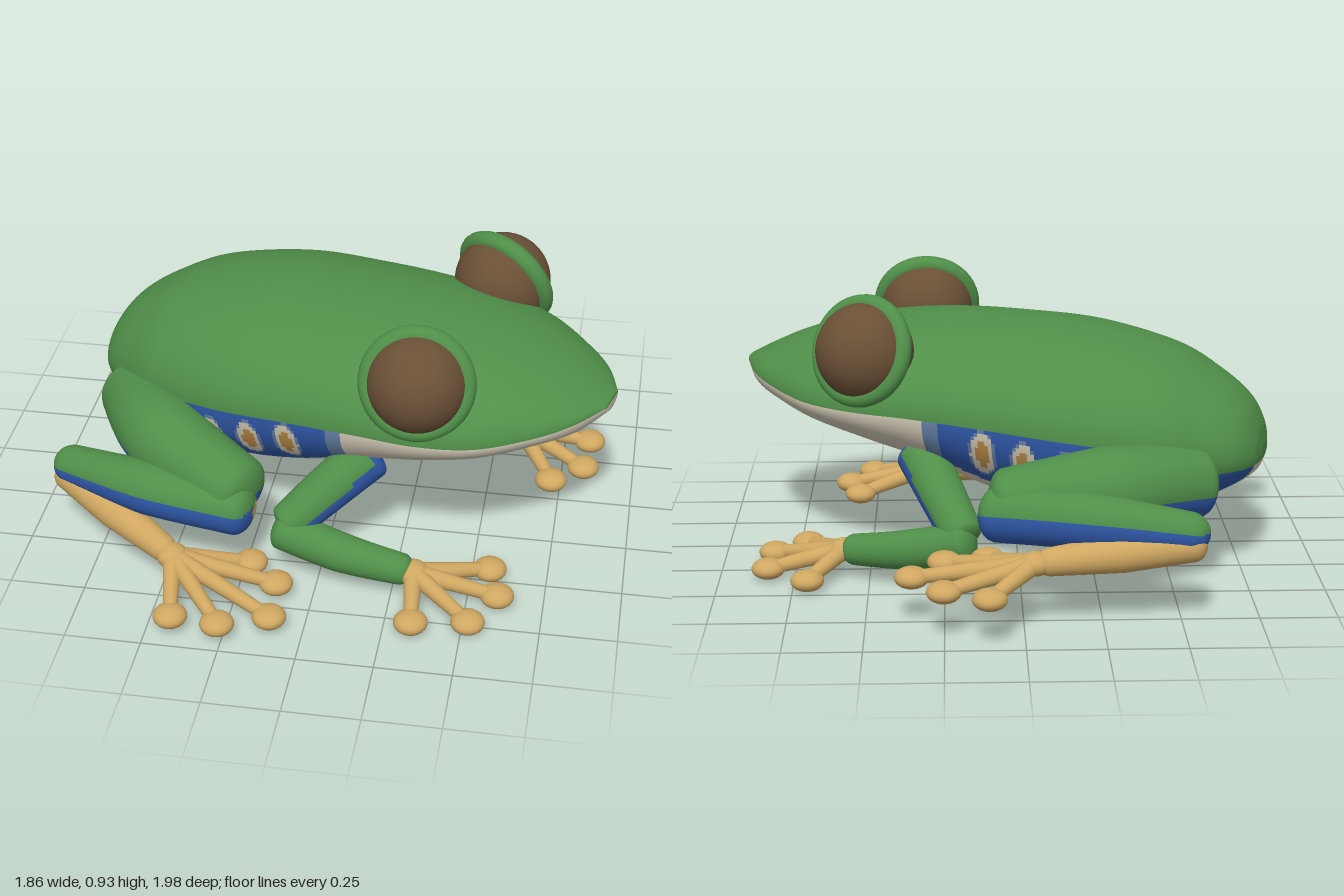
import * as THREE from 'three';

const V = (x, y, z) => new THREE.Vector3(x, y, z);
const mat = (name, color) => {
  const m = new THREE.MeshStandardMaterial({ color });
  m.name = name;
  return m;
};
const green = mat('leaf green', 0x508f49);
const cream = mat('belly cream', 0xcfc7b4);
const blue = mat('flank blue', 0x2f58a8);
const slate = mat('pale blue', 0x6580a6);
const tan = mat('foot tan', 0xcfa761);
const brown = mat('eye brown', 0x6a5036);
const orange = mat('spot orange', 0xb98a48);
const palette = [green, cream, blue, slate, tan, brown, orange];

// Closed-ring surface: at(i, j) gives points, paint(point, normal, t) picks each quad's material
function ringSurface(name, rows, cols, at, paint) {
  const pos = [];
  for (let i = 0; i <= rows; i++)
    for (let j = 0; j < cols; j++) pos.push(...at(i / rows, (j / cols) * Math.PI * 2).toArray());
  const point = k => V(pos[3 * k], pos[3 * k + 1], pos[3 * k + 2]);
  const buckets = palette.map(() => []);
  for (let i = 0; i < rows; i++)
    for (let j = 0; j < cols; j++) {
      const a = i * cols + j, b = i * cols + (j + 1) % cols, c = a + cols, d = b + cols;
      const pa = point(a), pb = point(b), pc = point(c), pd = point(d);
      const normal = pd.clone().sub(pa).cross(pc.clone().sub(pb)).normalize();
      const mid = pa.add(pb).add(pc).add(pd).multiplyScalar(0.25);
      buckets[palette.indexOf(paint(mid, normal, (i + 0.5) / rows))].push(a, b, c, b, d, c);
    }
  const geo = new THREE.BufferGeometry();
  geo.setAttribute('position', new THREE.Float32BufferAttribute(pos, 3));
  geo.setIndex(buckets.flat());
  geo.computeVertexNormals();
  const used = [];
  let start = 0;
  for (let k = 0; k < palette.length; k++) {
    if (!buckets[k].length) continue;
    geo.addGroup(start, buckets[k].length, used.length);
    used.push(palette[k]);
    start += buckets[k].length;
  }
  const mesh = new THREE.Mesh(geo, used);
  mesh.name = name;
  return mesh;
}

// Rounded limb through points with interpolated radii
function limb(name, points, radii, paint) {
  const curve = new THREE.CatmullRomCurve3(points);
  const cap = 0.08;
  return ringSurface(name, 40, 32, (s, ang) => {
    const t = (1 - Math.cos(Math.PI * s)) / 2;
    const f = t * (radii.length - 1), k = Math.min(Math.floor(f), radii.length - 2);
    const e = Math.max(0, 1 - Math.min(t, 1 - t) / cap);
    const r = THREE.MathUtils.lerp(radii[k], radii[k + 1], f - k) * Math.sqrt(Math.max(0, 1 - e * e)) + 1e-4;
    const T = curve.getTangent(t);
    const N = V(0, 1, 0).addScaledVector(T, -T.y).normalize();
    const B = T.clone().cross(N);
    return curve.getPoint(t).addScaledVector(N, r * Math.cos(ang)).addScaledVector(B, r * Math.sin(ang));
  }, paint);
}

// Body stations: u, back height, belly height, lip height, half width
const stations = [
  [-1.283, 0.445, 0.395, 0.42, 0.06], [-1.265, 0.515, 0.355, 0.425, 0.15], [-1.215, 0.595, 0.315, 0.437, 0.235],
  [-1.11, 0.675, 0.26, 0.46, 0.315],
  [-0.95, 0.755, 0.205, 0.49, 0.4], [-0.68, 0.815, 0.185, 0.525, 0.46], [-0.42, 0.83, 0.235, 0.55, 0.465],
  [-0.18, 0.83, 0.33, 0.567, 0.46], [0.03, 0.81, 0.4, 0.573, 0.445], [0.21, 0.775, 0.455, 0.58, 0.39],
  [0.36, 0.725, 0.505, 0.597, 0.285], [0.46, 0.68, 0.54, 0.615, 0.185], [0.534, 0.642, 0.6, 0.63, 0.055],
];
const outline = new THREE.CatmullRomCurve3(stations.map(s => V(s[0], s[1], s[2])), false, 'catmullrom');
const edge = new THREE.CatmullRomCurve3(stations.map(s => V(s[0], s[3], s[4])), false, 'catmullrom');

function makeBody() {
  const rows = 264;
  const lipAt = [];
  return ringSurface('body', rows, 148, (s, ang) => {
    const t = THREE.MathUtils.clamp((s * rows - 1) / (rows - 2), 0, 1);
    const k = s === 0 || s === 1 ? 0.001 : 1;
    const o = outline.getPoint(t), e = edge.getPoint(t);
    lipAt[Math.round(s * rows)] = e.y;
    const c = Math.cos(ang);
    return V(o.x, e.y + k * c * (c > 0 ? o.y - e.y : e.y - o.z), k * e.z * Math.sin(ang));
  }, (p, n, t) => {
    if (p.y > lipAt[Math.floor(t * rows)]) return green;
    if (p.x < -1.15) {
      if (p.y > 0.395) return green;
      return Math.abs(p.z) > 0.13 ? blue : cream;
    }
    const low = Math.max(0.28, 0.43 + (p.x + 0.22) * 0.45);
    if (p.x > -0.22 || p.y < low) return cream;
    // flank markings
    for (const u of [-0.7, -0.56, -0.42]) {
      const dx = Math.abs(p.x - u), dy = Math.abs(p.y - 0.46 - (u + 0.42) * 0.2);
      if (Math.hypot(dx / 0.021, dy / 0.05) < 1) return orange;
      if (Math.hypot(dx / 0.04, dy / 0.078) < 1) return cream;
      if (Math.hypot(dx / 0.046, dy / 0.088) < 1) return slate;
    }
    return p.x > -0.27 ? slate : blue;
  });
}

// Foot: tapered toes ending in flattened pads
function makeFoot(name, base, tips) {
  const foot = new THREE.Group();
  foot.name = name;
  const palm = new THREE.Mesh(new THREE.SphereGeometry(0.052, 20, 14), tan);
  palm.name = 'palm';
  palm.position.copy(base);
  palm.scale.y = 0.75;
  foot.add(palm);
  for (const tip of tips) {
    const dir = tip.clone().sub(base);
    const toe = new THREE.Mesh(new THREE.CylinderGeometry(0.022, 0.032, dir.length(), 14), tan);
    toe.name = 'toe';
    toe.position.copy(base).addScaledVector(dir, 0.5);
    toe.quaternion.setFromUnitVectors(V(0, 1, 0), dir.normalize());
    const pad = new THREE.Mesh(new THREE.SphereGeometry(0.056, 20, 14), tan);
    pad.name = 'toePad';
    pad.position.copy(tip);
    pad.scale.y = 0.62;
    foot.add(toe, pad);
  }
  return foot;
}

function makeSide(s) {
  const side = new THREE.Group();
  side.name = s > 0 ? 'rightSide' : 'leftSide';
  const P = (x, y, z) => V(x, y, z * s);
  const lift = s > 0 ? 0 : 1; // left hind foot is held higher

  // Eye with rim
  const eyePos = P(0.004, 0.76, 0.36), out = P(0.26, 0.33, 0.9).normalize();
  const eye = new THREE.Mesh(new THREE.SphereGeometry(0.163, 40, 28), brown);
  eye.name = 'eye';
  eye.position.copy(eyePos);
  const rim = new THREE.Mesh(new THREE.TorusGeometry(0.157, 0.032, 16, 48), green);
  rim.name = 'eyeRim';
  rim.position.copy(eyePos).addScaledVector(out, 0.02);
  rim.quaternion.setFromUnitVectors(V(0, 0, 1), out);
  side.add(eye, rim);

  // Front leg: green outside, blue in front and inside
  const wrist = P(0.05, 0.105, 0.475);
  side.add(limb('upperArm', [P(-0.16, 0.43, 0.31), P(-0.28, 0.31, 0.435), P(-0.39, 0.19, 0.545)],
    [0.085, 0.078, 0.068], (p, n) => (n.z * s - n.x + 0.2 * n.y > 0.1 ? green : blue)));
  side.add(limb('forearm', [P(-0.42, 0.2, 0.55), P(-0.19, 0.14, 0.52), wrist],
    [0.07, 0.066, 0.05], (p, n, t) => {
      if (n.z * s + 0.25 * n.y > -0.3) return green;
      if (t < 0.39 || n.y > 0.5) return blue;
      if (t < 0.42 || n.y > 0.25) return slate;
      return t < 0.54 ? brown : tan;
    }));
  side.add(makeFoot('frontFoot', wrist,
    [[0.12, 0.652], [0.285, 0.573], [0.32, 0.407], [0.245, 0.284]].map(([u, w]) => P(u, 0.05, w))));

  // Hind leg: green above, blue below, with a marked inner knee and heel
  side.add(limb('thigh', [P(-1.13, 0.365, 0.23), P(-0.85, 0.39, 0.49), P(-0.48, 0.3 + 0.03 * lift, 0.585)],
    [0.12, 0.14, 0.114], (p, n) => (n.y > -0.15 ? green : blue)));
  side.add(limb('shank', [P(-0.46, 0.275 + 0.04 * lift, 0.605), P(-0.82, 0.295 + 0.04 * lift, 0.655), P(-1.205, 0.265 + 0.04 * lift, 0.61)],
    [0.09, 0.092, 0.062], (p, n, t) => {
      if (n.y > 0.12) return green;
      if (n.z * s > -0.05 || t > 0.45) return blue;
      if (t > 0.4) return slate;
      return t > 0.28 ? brown : tan;
    }));
  const ankle = P(-0.68, 0.14 + 0.08 * lift, 0.77);
  side.add(limb('tarsus', [P(-1.195, 0.24 + 0.04 * lift, 0.61), P(-0.94, 0.19 + 0.06 * lift, 0.69), ankle],
    [0.055, 0.062, 0.042], (p, n, t) => {
      if (n.z * s > -0.3 || n.y < 0 || t > 0.45) return tan;
      if (t > 0.3) return brown;
      return t > 0.25 ? slate : blue;
    }));
  side.add(makeFoot('hindFoot', ankle,
    [[-0.585, 0.964], [-0.43, 0.936], [-0.295, 0.834], [-0.354, 0.667], [-0.48, 0.6]]
      .map(([u, w]) => P(u, 0.062 + 0.1 * lift, w))));
  return side;
}

export function createModel() {
  const model = new THREE.Group();
  model.name = 'treeFrog';
  const frog = new THREE.Group();
  frog.name = 'frog';
  frog.add(makeBody(), makeSide(1), makeSide(-1));
  frog.rotation.y = -0.281;
  frog.position.set(0.405, 0, 0.14);
  model.add(frog);
  return model;
}
